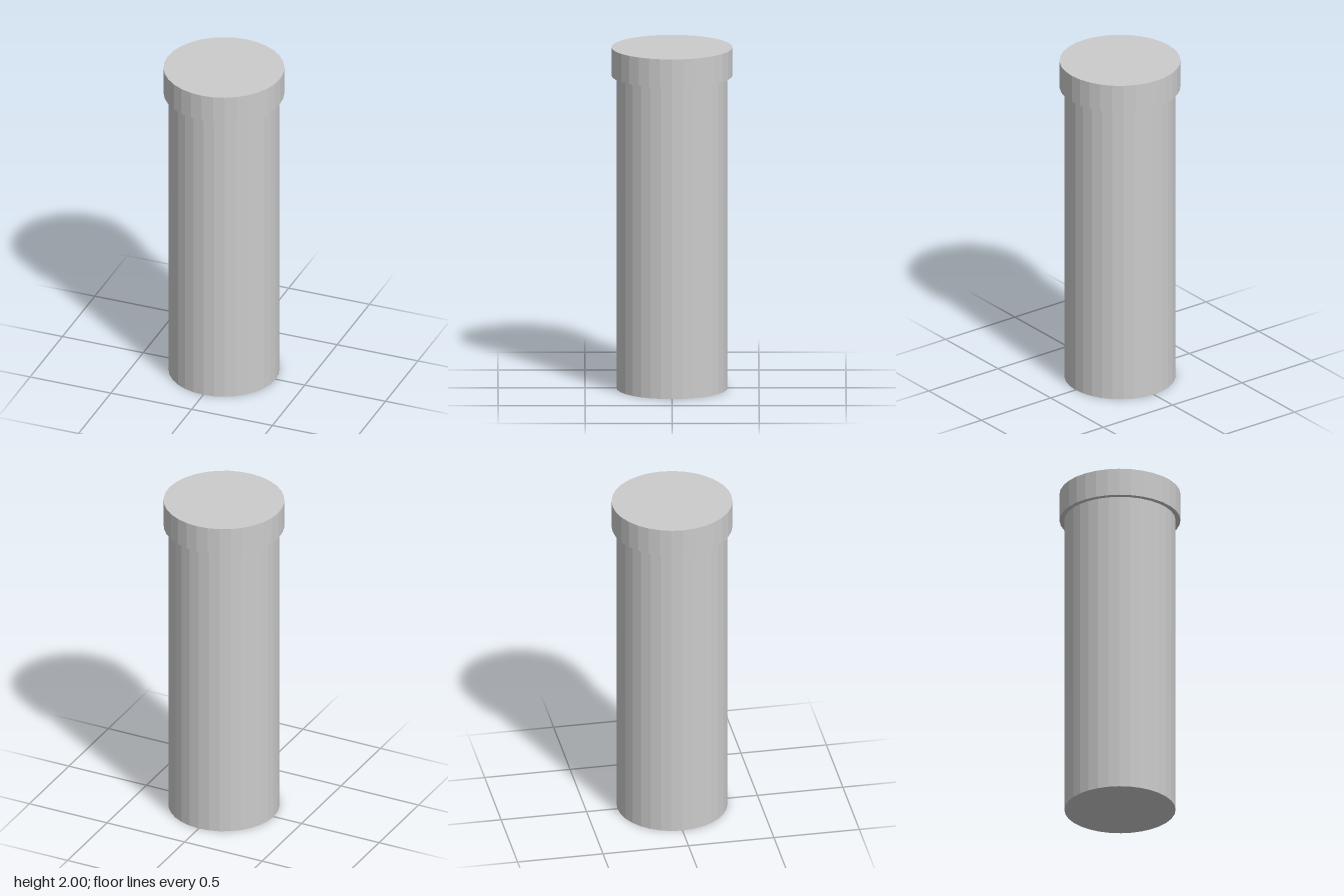
import * as THREE from 'three';

const SIDES = 32;
const HEIGHT = 2;
const CAP_BOTTOM = 1.835;

export function createModel() {
  const group = new THREE.Group();
  group.name = 'cappedCylinder';
  const material = new THREE.MeshStandardMaterial({ color: 0xcccccc, flatShading: true });

  // Closed faceted cylinder spanning bottom to top
  const addCylinder = (name, radius, bottom, top) => {
    const geometry = new THREE.CylinderGeometry(radius, radius, top - bottom, SIDES);
    const mesh = new THREE.Mesh(geometry, material);
    mesh.name = name;
    mesh.position.y = (bottom + top) / 2;
    group.add(mesh);
  };

  // Tall tube body
  addCylinder('body', 0.32, 0, CAP_BOTTOM);
  // Slightly wider lid overhanging the body
  addCylinder('cap', 0.348, CAP_BOTTOM, HEIGHT);

  return group;
}
